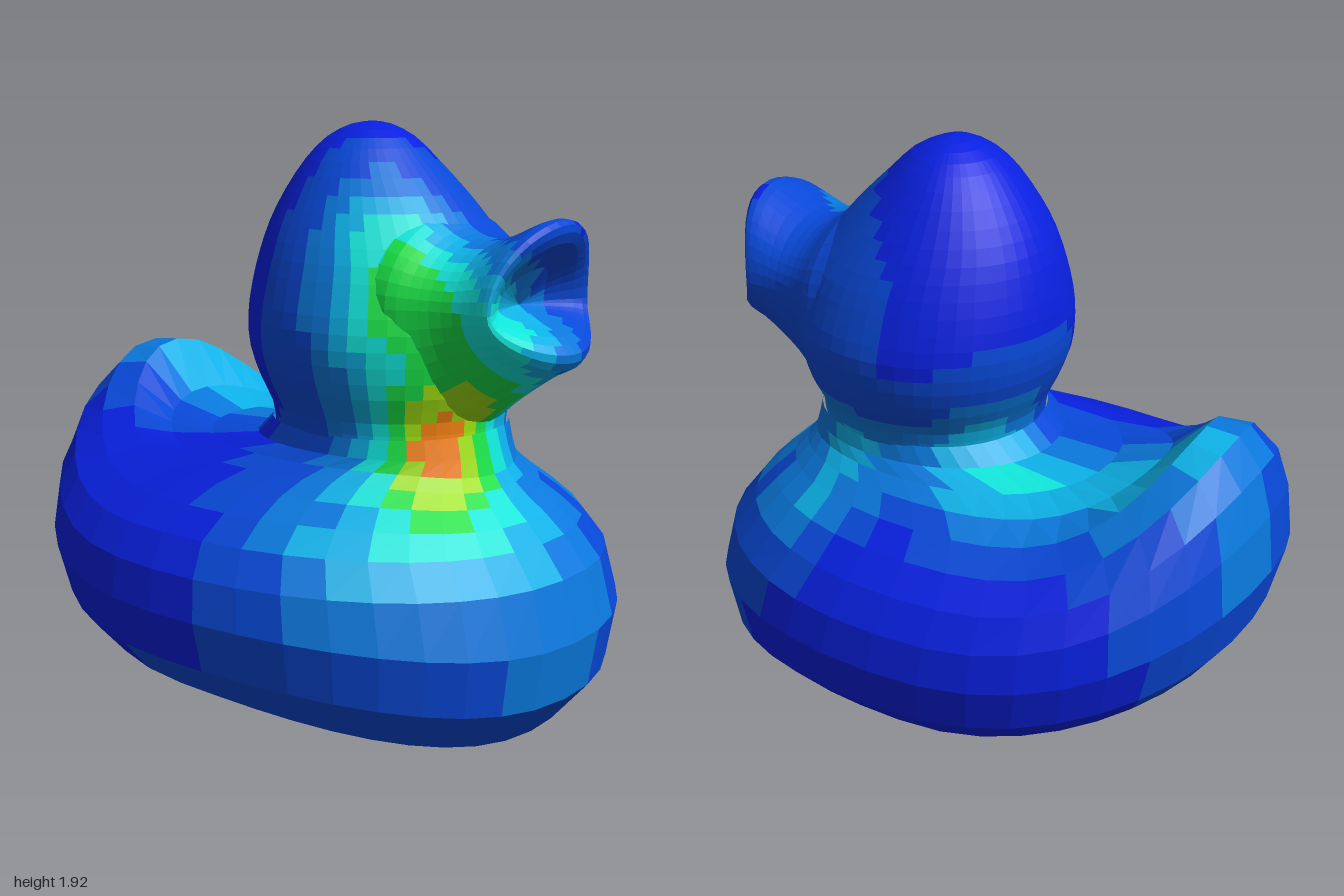
import * as THREE from 'three';

// Colour bands from cool to warm
const palette = [0x0820e0, 0x0848d8, 0x0a78dc, 0x0cb0e6, 0x10e4d8, 0x18e048, 0xa0e010, 0xf08010];
const materials = palette.map(color => new THREE.MeshStandardMaterial({ color, flatShading: true }));

// Warmer and cooler patches: x, y, z, radius, strength in bands
const patches = [
  [-0.20, 0.95, 0.62, 0.22, 4.5], // front of neck
  [-0.30, 1.40, 0.55, 0.28, 4.5], // cheek
  [-0.22, 1.68, 0.42, 0.20, 2.0], // forehead
  [-0.15, 0.75, 0.75, 0.40, 2.0], // chest
  [-0.55, 0.65, 0.55, 0.30, 2.0],
  [0.00, 0.40, 0.95, 0.60, 1.0],
  [-0.12, 1.33, 0.85, 0.18, 2.0], // lower beak
  [0.00, 1.10, 0.72, 0.20, 2.0],
  [0.25, 1.40, 0.50, 0.30, 1.0],
  [0.30, 0.88, -0.10, 0.25, 3.0], // back of neck
  [0.38, 0.90, 0.35, 0.22, 2.0],
  [0.55, 0.66, 0.45, 0.20, 2.0], // shoulder
  [0.20, 0.95, -0.45, 0.28, 2.5], // hollow of back
  [0.05, 1.10, -0.75, 0.28, 2.0], // tail
  [0.20, 0.70, -1.00, 0.35, 1.2],
  [0.00, 0.10, 0.00, 0.50, 2.0], // underside
  [0.80, 0.45, 0.00, 0.50, -0.8],
];

function bandAt(p) {
  const heat = patches.reduce((sum, [x, y, z, r, a]) => {
    const d2 = (p.x - x) ** 2 + (p.y - y) ** 2 + (p.z - z) ** 2;
    return sum + a * Math.exp(-d2 / (r * r));
  }, 0.3);
  return THREE.MathUtils.clamp(Math.round(heat), 0, palette.length - 1);
}

// Catmull-Rom value between p1 and p2
function spline(p0, p1, p2, p3, t) {
  const c1 = p2 - p0;
  const c2 = 2 * p0 - 5 * p1 + 4 * p2 - p3;
  const c3 = 3 * (p1 - p2) + p3 - p0;
  return p1 + 0.5 * t * (c1 + t * (c2 + t * c3));
}

// Smooth rows of numbers, sub steps per interval
function refine(rows, sub) {
  const out = [];
  const at = i => rows[Math.min(Math.max(i, 0), rows.length - 1)];
  for (let i = 0; i < rows.length - 1; i++) {
    for (let k = 0; k < sub; k++) {
      out.push(rows[i].map((p, j) =>
        spline(at(i - 1)[j], p, at(i + 1)[j], at(i + 2)[j], k / sub)));
    }
  }
  out.push(rows[rows.length - 1]);
  return out;
}

// Skin closed rings, one colour per facet; point(row, angle, v) gives [x, y, z]
function loft(name, rows, seg, point) {
  const grid = rows.map((row, i) => Array.from({ length: seg }, (_, j) =>
    new THREE.Vector3(...point(row, (j / seg) * Math.PI * 2, i / (rows.length - 1)))));
  const bands = palette.map(() => []);
  for (let i = 0; i < rows.length - 1; i++) {
    for (let j = 0; j < seg; j++) {
      const k = (j + 1) % seg, a = i * seg + j, b = i * seg + k;
      const middle = grid[i][j].clone().add(grid[i + 1][k]).multiplyScalar(0.5);
      bands[bandAt(middle)].push(a, b, b + seg, a, b + seg, a + seg);
    }
  }
  const g = new THREE.BufferGeometry().setFromPoints(grid.flat());
  g.setIndex(bands.flat());
  let start = 0;
  bands.forEach((band, n) => {
    if (band.length) g.addGroup(start, band.length, n);
    start += band.length;
  });
  g.computeVertexNormals();
  const mesh = new THREE.Mesh(g, materials);
  mesh.name = name;
  return mesh;
}

// Slightly squared circle
const squared = v => Math.sign(v) * Math.pow(Math.abs(v), 0.92);

// Body with raised tail: front z, back z, half width, y at front, side, back
function makeBody() {
  const rings = [
    [-0.05, -0.05, 0, 0.14, 0.14, 0.14],
    [0.62, -0.74, 0.55, 0.00, 0.10, 0.30],
    [0.85, -0.88, 0.70, 0.03, 0.16, 0.35],
    [0.97, -0.95, 0.81, 0.17, 0.28, 0.45],
    [1.00, -1.00, 0.845, 0.36, 0.44, 0.65],
    [0.95, -0.98, 0.82, 0.55, 0.57, 0.85],
    [0.87, -0.94, 0.75, 0.65, 0.67, 1.00],
    [0.81, -0.86, 0.65, 0.71, 0.74, 1.10],
    [0.75, -0.75, 0.55, 0.76, 0.795, 1.11],
    [0.71, -0.60, 0.47, 0.80, 0.84, 0.95],
    [0.68, -0.42, 0.41, 0.84, 0.875, 0.89],
    [0.66, -0.20, 0.375, 0.90, 0.91, 0.90],
    [0.64, -0.13, 0.365, 0.97, 0.97, 0.97],
  ];
  return loft('body', rings, 40, ([zf, zb, w, yf, ys, yb], t, v) => {
    const c = Math.cos(t), x = w * squared(Math.sin(t));
    const lift = Math.pow(Math.abs(c), 1 + 4.5 * v);
    return [x + 0.015 * v, ys + ((c > 0 ? yf : yb) - ys) * lift - 0.025 * x * (1 - v),
      (zf + zb) / 2 + squared(c) * (zf - zb) / 2];
  });
}

// Egg-shaped head: y, half width, front z, back z
function makeHead() {
  const rings = [
    [0.95, 0.365, 0.64, -0.13],
    [1.02, 0.38, 0.64, -0.14],
    [1.10, 0.42, 0.67, -0.18],
    [1.20, 0.45, 0.69, -0.22],
    [1.30, 0.455, 0.70, -0.235],
    [1.40, 0.43, 0.68, -0.23],
    [1.50, 0.395, 0.64, -0.21],
    [1.60, 0.345, 0.56, -0.18],
    [1.70, 0.285, 0.47, -0.13],
    [1.80, 0.215, 0.365, -0.06],
    [1.87, 0.145, 0.29, 0.01],
    [1.91, 0.07, 0.21, 0.09],
    [1.92, 0, 0.155, 0.155],
  ];
  return loft('head', refine(rings, 2), 48, ([y, w, zf, zb], t, v) => [
    w * Math.sin(t) + 0.015 + 0.02 * Math.min(1, v * 3), y,
    (zf + zb) / 2 + Math.cos(t) * (zf - zb) / 2]);
}

// Flared open beak, blended into the face, rim turned in to a hollow mouth:
// z at top, side, bottom, then y top, y bottom, half width
function makeBeak() {
  const rings = [
    [0.42, 0.42, 0.48, 1.68, 0.98, 0.36],
    [0.50, 0.50, 0.58, 1.65, 0.98, 0.355],
    [0.56, 0.56, 0.64, 1.605, 1.00, 0.325],
    [0.62, 0.62, 0.70, 1.58, 1.05, 0.295],
    [0.70, 0.69, 0.78, 1.58, 1.11, 0.275],
    [0.80, 0.75, 0.87, 1.62, 1.17, 0.27],
    [0.87, 0.80, 0.93, 1.65, 1.20, 0.27],
    [0.915, 0.82, 0.95, 1.635, 1.25, 0.26],
    [0.90, 0.80, 0.90, 1.58, 1.30, 0.21],
    [0.82, 0.75, 0.83, 1.50, 1.33, 0.12],
    [0.74, 0.74, 0.74, 1.38, 1.38, 0],
  ];
  return loft('beak', refine(rings, 2), 40, ([zt, zs, zb, yt, yb, w], t) => {
    const s = Math.sin(t), mid = 1.38;
    return [0.035 + w * Math.cos(t), mid + s * (s > 0 ? yt - mid : mid - yb),
      zs + ((s > 0 ? zt : zb) - zs) * s * s];
  });
}

export function createModel() {
  const group = new THREE.Group();
  group.name = 'duck';
  group.add(makeBody(), makeHead(), makeBeak());
  return group;
}
